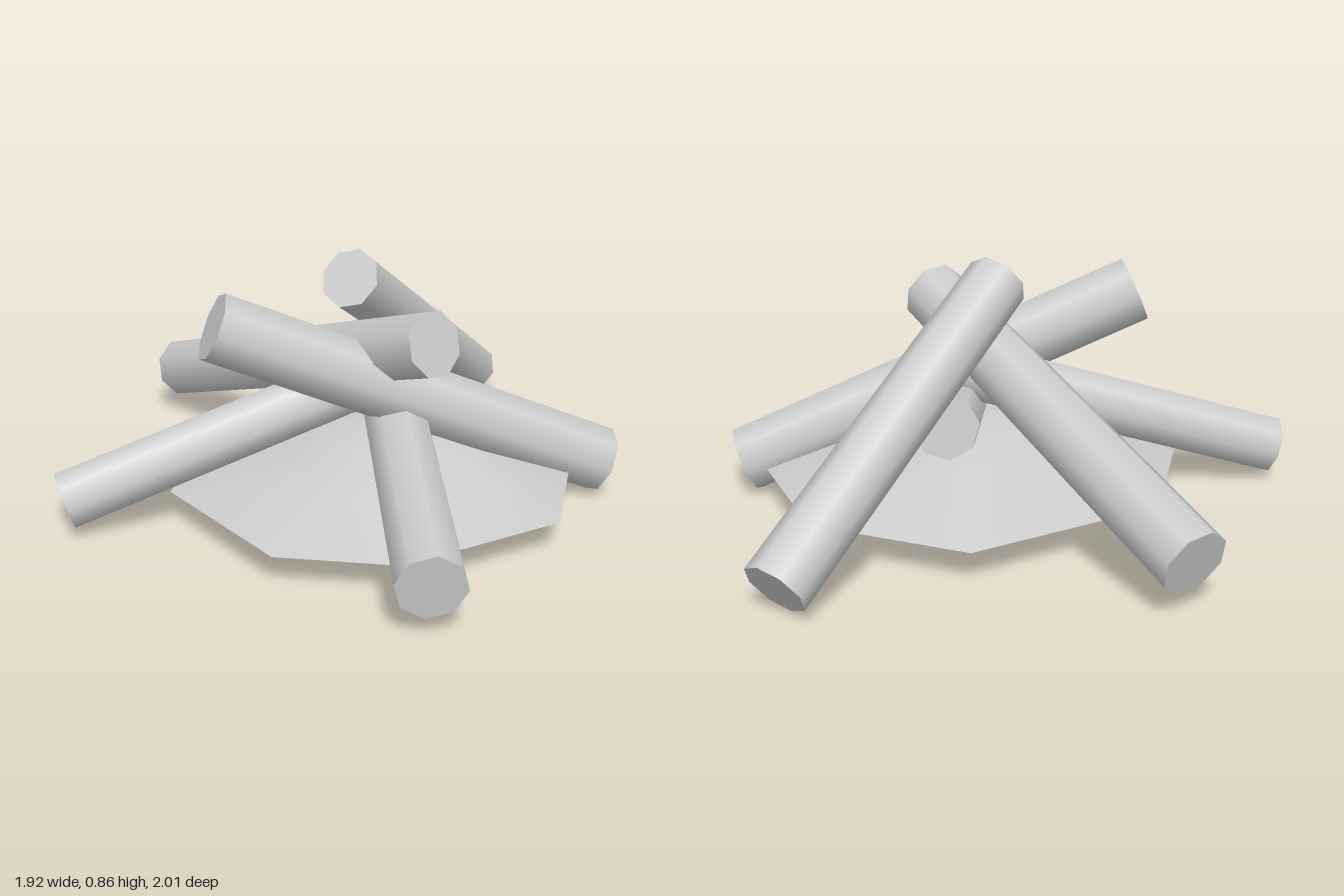
import * as THREE from 'three';

const material = new THREE.MeshStandardMaterial({ color: 0xcccccc });

// Eight-sided log running between two end centres
function makeLog(name, from, to, radius) {
  const a = new THREE.Vector3(...from);
  const b = new THREE.Vector3(...to);
  const dir = b.clone().sub(a);
  const log = new THREE.Mesh(new THREE.CylinderGeometry(radius, radius, dir.length(), 8), material);
  log.name = name;
  log.position.copy(a).add(b).multiplyScalar(0.5);
  log.quaternion.setFromUnitVectors(new THREE.Vector3(0, 1, 0), dir.normalize());
  return log;
}

// Builds an indexed mesh with smooth normals
function makeSurface(name, points, index) {
  const geometry = new THREE.BufferGeometry();
  geometry.setAttribute('position', new THREE.Float32BufferAttribute(points, 3));
  geometry.setIndex(index);
  geometry.computeVertexNormals();
  const mesh = new THREE.Mesh(geometry, material);
  mesh.name = name;
  return mesh;
}

// Low ash heap: an uneven octagon shrinking towards a rounded top
function makeAshMound() {
  const cx = 0.13, cz = 0.02, baseY = 0.105;
  const outline = [
    [0.18, -0.7], [0.67, -0.46], [0.845, 0.035], [0.6, 0.56],
    [0.045, 0.735], [-0.33, 0.6], [-0.585, 0.085], [-0.44, -0.41],
  ];
  const rings = [[1, baseY], [0.5, 0.228], [0.35, 0.268], [0.16, 0.295]]; // scale, height
  const n = outline.length;
  const points = [], index = [];
  for (const [s, y] of rings) {
    for (const [x, z] of outline) points.push(cx + (x - cx) * s, y, cz + (z - cz) * s);
  }
  points.push(cx, 0.3, cz);
  const apex = rings.length * n;
  for (let r = 0; r < rings.length; r++) {
    for (let i = 0; i < n; i++) {
      const j = (i + 1) % n;
      const a = r * n + i, b = r * n + j;
      if (r === rings.length - 1) index.push(b, a, apex);
      else index.push(b, a, a + n, b, a + n, b + n);
    }
  }

  // Flat underside
  const basePoints = [], baseIndex = [];
  for (const [x, z] of outline) basePoints.push(x, baseY, z);
  basePoints.push(cx, baseY, cz);
  for (let i = 0; i < n; i++) baseIndex.push(i, (i + 1) % n, n);

  const mound = new THREE.Group();
  mound.name = 'ashMound';
  mound.add(makeSurface('ashTop', points, index), makeSurface('ashBase', basePoints, baseIndex));
  return mound;
}

export function createModel() {
  const campfire = new THREE.Group();
  campfire.name = 'campfire';
  campfire.add(
    makeAshMound(),
    makeLog('crossLog', [0.91, 0.105, 0.117], [-0.432, 0.685, 0.117], 0.117),
    makeLog('rightLog', [-0.93, 0.11, 0.092], [0.275, 0.487, -0.01], 0.101),
    makeLog('frontLog', [0.065, 0.165, 0.983], [0.235, 0.352, -0.287], 0.11),
    makeLog('backRightLog', [-0.44, 0.165, -0.945], [0.25, 0.64, 0.298], 0.112),
    makeLog('backLeftLog', [0.742, 0.1, -0.878], [0.05, 0.768, -0.048], 0.104),
  );
  return campfire;
}
